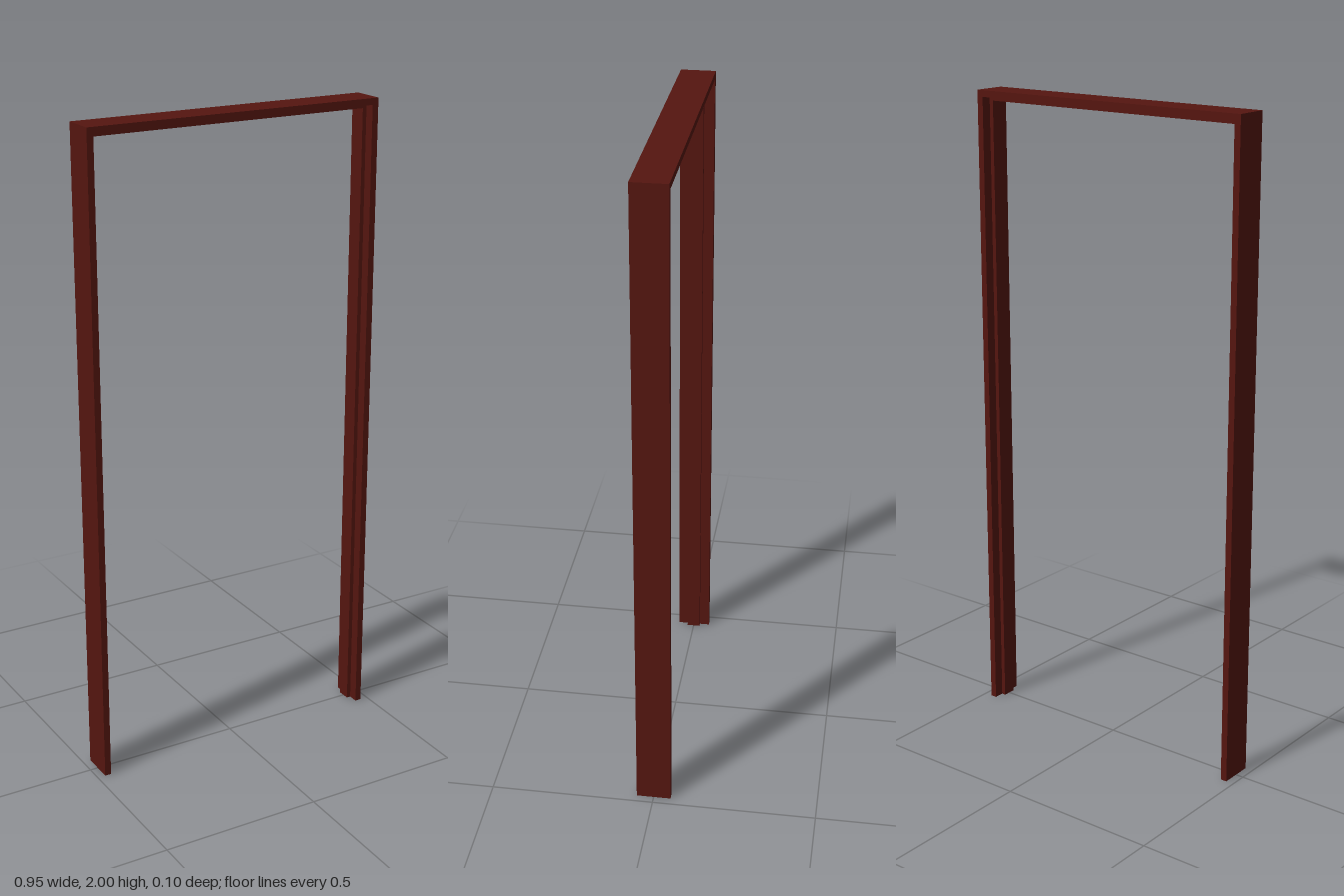
import * as THREE from 'three';

const HALF_WIDTH = 0.475, HEIGHT = 2;
const material = new THREE.MeshStandardMaterial({ color: 0x551610 });

// Upside-down U (two jambs and a head) lying between two insets from the outer edge
function archBand(name, outerInset, innerInset, depth) {
  const xo = HALF_WIDTH - outerInset, yo = HEIGHT - outerInset;
  const xi = HALF_WIDTH - innerInset, yi = HEIGHT - innerInset;
  const shape = new THREE.Shape([
    [-xo, 0], [-xi, 0], [-xi, yi], [xi, yi], [xi, 0], [xo, 0], [xo, yo], [-xo, yo],
  ].map(([x, y]) => new THREE.Vector2(x, y)));
  const geometry = new THREE.ExtrudeGeometry(shape, { depth, bevelEnabled: false });
  geometry.translate(0, 0, -depth / 2);
  const mesh = new THREE.Mesh(geometry, material);
  mesh.name = name;
  return mesh;
}

export function createModel() {
  const group = new THREE.Group();
  group.name = 'doorFrame';
  // Full-depth lining boards
  group.add(archBand('frameLining', 0, 0.02, 0.105));
  // Narrow raised stop running around the middle of the inner faces
  group.add(archBand('doorStop', 0.02, 0.033, 0.042));
  return group;
}
